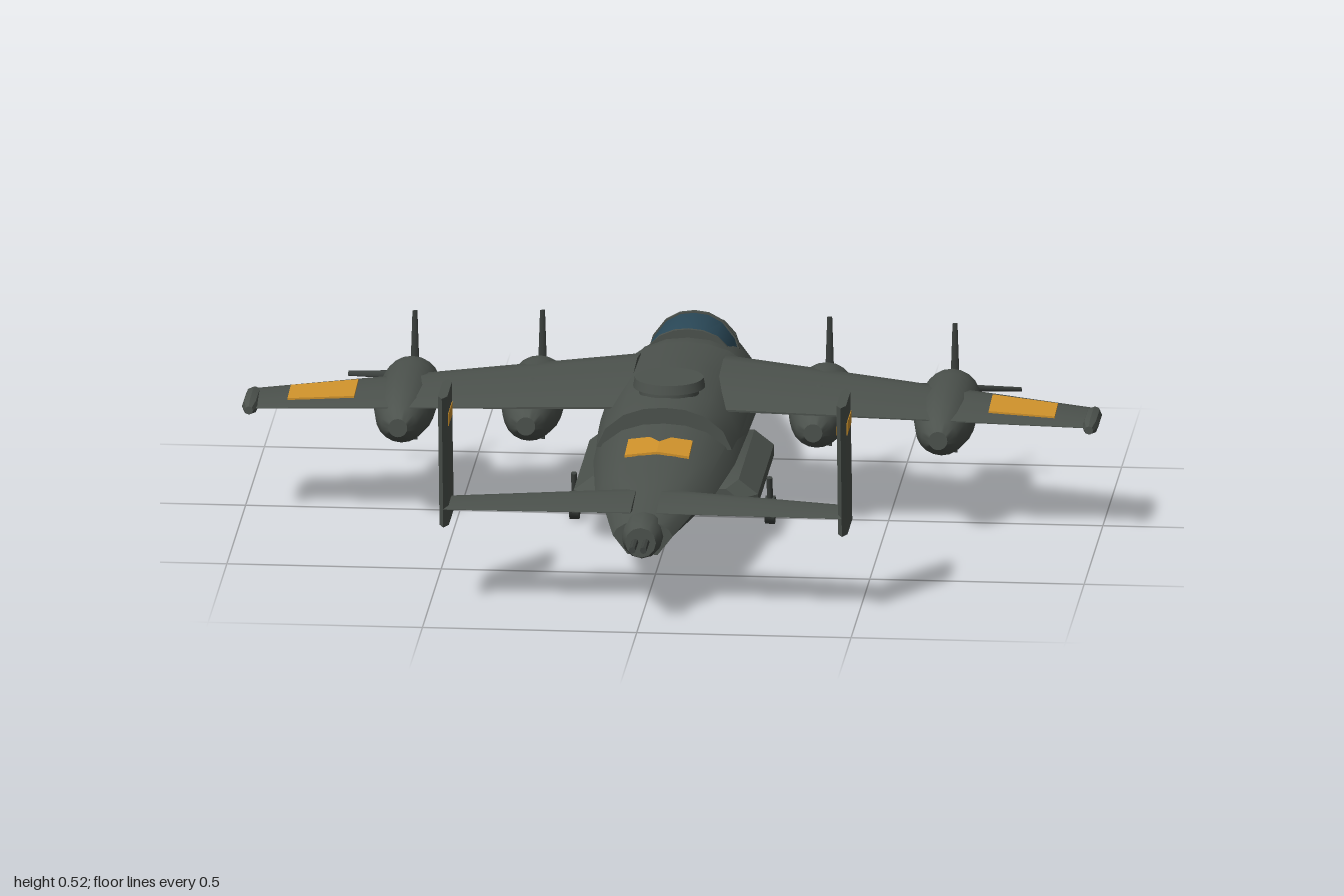
import * as THREE from 'three';
import { toCreasedNormals } from 'three/addons/utils/BufferGeometryUtils.js';

const material = (name, color) => {
  const m = new THREE.MeshStandardMaterial({ color });
  m.name = name;
  return m;
};

// Closed solid through rings of [x, y, z] points, wound outwards
function loft(rings, crease = 0.55) {
  const tris = [];
  const n = rings[0].length;
  for (let i = 0; i < rings.length - 1; i++) {
    for (let j = 0; j < n; j++) {
      const k = (j + 1) % n;
      const [a, b, c, d] = [rings[i][j], rings[i][k], rings[i + 1][k], rings[i + 1][j]];
      tris.push([a, b, c], [a, c, d]);
    }
  }
  const cap = (ring, flip) => {
    const mid = [0, 1, 2].map((i) => ring.reduce((s, p) => s + p[i], 0) / n);
    ring.forEach((p, j) => {
      const q = ring[(j + 1) % n];
      tris.push(flip ? [mid, q, p] : [mid, p, q]);
    });
  };
  cap(rings[0], true);
  cap(rings[rings.length - 1], false);
  const v = (p) => new THREE.Vector3(...p);
  const volume = tris.reduce((s, [a, b, c]) => s + v(a).dot(v(b).cross(v(c))), 0);
  if (volume < 0) tris.forEach((t) => t.reverse());
  const geo = new THREE.BufferGeometry();
  geo.setAttribute('position', new THREE.Float32BufferAttribute(tris.flat(2), 3));
  return toCreasedNormals(geo, crease);
}

// Turned part along z from [radius, z] points, given from low z to high z
function turned(profile, sides = 20, crease = 0.6) {
  const geo = new THREE.LatheGeometry(profile.map(([r, z]) => new THREE.Vector2(r, z)), sides);
  return toCreasedNormals(geo.rotateX(Math.PI / 2), crease);
}

// Wing section: [chord fraction, half thickness fraction]
const foil = [[0, 0.04], [0.08, 0.3], [0.3, 0.5], [0.78, 0.26], [1, 0.03]];
function foilRing(x, front, back, y, thick) {
  const pt = (sign) => ([f, t]) => [x, y + sign * t * thick, front + (back - front) * f];
  return [...foil.map(pt(1)), ...[...foil].reverse().map(pt(-1))];
}

export function createModel() {
  const body = material('airframe grey', 0x4c524d);
  const metal = material('dark metal', 0x3d423f);
  const orange = material('marking orange', 0xcf922b);
  const glass = material('canopy blue', 0x2c4b5b);
  const model = new THREE.Group();
  model.name = 'aircraft';
  const add = (name, geo, mat, x = 0, y = 0, z = 0, parent = model) => {
    const mesh = new THREE.Mesh(geo, mat);
    mesh.name = name;
    mesh.position.set(x, y, z);
    parent.add(mesh);
    return mesh;
  };

  // Fuselage stations: z, half width, top, chine, bottom, bottom half width
  const stations = [
    [-0.97, 0.003, 0.163, 0.16, 0.157, 0.002],
    [-0.86, 0.06, 0.208, 0.165, 0.122, 0.03],
    [-0.78, 0.1, 0.232, 0.17, 0.115, 0.045],
    [-0.56, 0.15, 0.28, 0.185, 0.105, 0.07],
    [-0.38, 0.17, 0.325, 0.197, 0.097, 0.085],
    [-0.31, 0.177, 0.33, 0.2, 0.094, 0.09],
    [0, 0.172, 0.33, 0.205, 0.085, 0.09],
    [0.27, 0.165, 0.3, 0.205, 0.095, 0.085],
    [0.56, 0.135, 0.27, 0.2, 0.13, 0.065],
    [0.66, 0.105, 0.255, 0.2, 0.136, 0.05],
    [0.84, 0.07, 0.225, 0.19, 0.145, 0.035],
  ];
  const arch = [[1, 0], [0.87, 0.45], [0.6, 0.8], [0.3, 0.96]];
  const archRing = (z, w, top, base) => [
    ...arch.map(([u, v]) => [u * w, base + v * (top - base), z]),
    [0, top, z],
    ...[...arch].reverse().map(([u, v]) => [-u * w, base + v * (top - base), z]),
  ];
  add('fuselage', loft(stations.map(([z, w, top, mid, bottom, wb]) =>
    [...archRing(z, w, top, mid), [-wb, bottom, z], [wb, bottom, z]])), body);
  add('centreFairing', loft([[-0.31, 0.168, 0.333], [-0.1, 0.168, 0.345], [0.05, 0.168, 0.35],
    [0.15, 0.165, 0.348], [0.27, 0.158, 0.338]].map(([z, w, top]) => archRing(z, w, top, 0.24))), body);

  // Canopy and its frames
  const canopy = [[-0.755, 0.06, 0.233, 0.2], [-0.69, 0.092, 0.29, 0.21], [-0.54, 0.108, 0.34, 0.23],
    [-0.38, 0.108, 0.341, 0.26]];
  add('canopy', loft(canopy.map((c) => archRing(...c))), glass);
  for (const [z, w, top, base] of canopy.slice(1)) {
    add('canopyFrame', loft([-0.005, 0.005].map((d) => archRing(z + d, w + 0.004, top + 0.004, base))), body);
  }

  // Dorsal disc, chin fairing and tail guns
  add('dorsalDisc', new THREE.CylinderGeometry(0.08, 0.084, 0.022, 28), body, 0, 0.364, 0.135);
  add('dorsalDiscBase', new THREE.CylinderGeometry(0.07, 0.07, 0.03, 28), body, 0, 0.345, 0.135);
  add('chinFairing', turned([[0, -0.06], [0.014, -0.04], [0.018, 0.03], [0, 0.04]], 10), body, 0, 0.13, -0.86);
  add('tailTurret', turned([[0.05, -0.04], [0.046, 0.02], [0.036, 0.05], [0, 0.05]], 12), body, 0, 0.19, 0.85);
  for (const x of [-0.013, 0.013]) {
    add('tailGun', turned([[0.008, -0.05], [0.008, 0.05], [0, 0.05]], 8), metal, x, 0.192, 0.923);
  }

  const wheel = (x, z) => {
    add('wheel', toCreasedNormals(new THREE.CylinderGeometry(0.033, 0.033, 0.022, 18).rotateZ(Math.PI / 2), 0.6),
      metal, x, 0.034, z);
    const strut = add('wheelStrut', new THREE.CylinderGeometry(0.007, 0.007, 0.09, 8), metal, x, 0.075, z + 0.01);
    strut.rotation.x = 0.3;
    return strut;
  };
  wheel(0, -0.655).name = 'noseStrut';

  // Engine along z with a four-blade propeller
  const engine = (x, shift, length) => {
    const g = new THREE.Group();
    g.name = 'engine';
    g.position.set(x, 0.245, shift);
    model.add(g);
    add('nacelle', turned([[0, -0.275], [0.035, -0.272], [0.054, -0.255], [0.066, -0.215], [0.071, -0.16],
      [0.071, 0.0], [0.06, length - 0.09], [0.042, length - 0.03], [0.022, length], [0, length]]), body, 0, 0, 0, g);
    add('intake', new THREE.BoxGeometry(0.05, 0.02, 0.12), body, 0, -0.064, -0.13, g);
    add('spinner', turned([[0, -0.305], [0.016, -0.298], [0.026, -0.28], [0.026, -0.265]], 14), metal, 0, 0, 0, g);
    for (let i = 0; i < 4; i++) {
      const blade = new THREE.CylinderGeometry(0.006, 0.011, 0.145, 8).scale(1, 1, 0.4);
      blade.rotateY(0.35).translate(0, 0.083, 0);
      add('propellerBlade', blade, metal, 0, 0, -0.286, g).rotation.z = i * Math.PI / 2;
    }
  };

  for (const s of [1, -1]) {
    // Main wing; fractions run from root to tip
    const wingAt = (x) => {
      const f = (x - 0.1) / 0.88;
      return foilRing(s * x, -0.285 + 0.25 * f, 0.135 - 0.01 * f, 0.297 - 0.025 * f, 0.078 - 0.054 * f);
    };
    add('wing', loft([wingAt(0.1), wingAt(0.98)]), body);
    const [inner, outer] = [wingAt(0.74), wingAt(0.895)];
    const corners = [inner[2], inner[3], outer[3], outer[2]];
    add('wingMarking', loft([0.0005, 0.005].map((d) => corners.map(([x, y, z]) => [x, y + d, z]))), orange);
    add('wingTipPod', turned([[0, -0.045], [0.012, -0.02], [0.019, 0.01], [0.019, 0.11], [0.01, 0.145],
      [0, 0.147]], 8), body, s * 0.98, 0.272, 0);
    engine(s * 0.335, -0.03, 0.16);
    engine(s * 0.63, 0, 0.17);

    // Tailplane and end fin
    add('tailplane', loft([foilRing(s * 0.03, 0.63, 0.825, 0.24, 0.026),
      foilRing(s * 0.465, 0.737, 0.85, 0.245, 0.014)]), body);
    const finRing = (y, front, back) => {
      const c = back - front;
      const pts = [[0, 0], [0.011, 0.18], [0.011, 0.87], [0, 1], [-0.011, 0.87], [-0.011, 0.18]];
      return pts.map(([x, f]) => [s * 0.465 + x, y, front + c * f]);
    };
    add('tailFin', loft([finRing(0.2, 0.66, 0.845), finRing(0.25, 0.662, 0.85), finRing(0.522, 0.712, 0.885)], 0.05), body);
    add('finMarking', new THREE.BoxGeometry(0.025, 0.03, 0.108), orange, s * 0.465, 0.46, 0.79);

    // Rear dorsal marking, one half each side
    const half = [[0, 0.4], [0.025, 0.365], [0.075, 0.365], [0.075, 0.465], [0, 0.465]];
    add('dorsalMarking', loft([0.0015, 0.0075].map((d) => half.map(([x, z]) =>
      [s * x, 0.29 - (z - 0.365) * 0.1034 - 0.13 * x + d, z]))), orange);

    // Belly sponson with the main wheel
    const sponson = (z, k) => [[0.08, 0.155], [0.17, 0.157], [0.215, 0.122], [0.215, 0.095], [0.2, 0.088], [0.08, 0.086]]
      .map(([x, y]) => [s * (0.08 + (x - 0.08) * k), 0.11 + (y - 0.11) * k, z]);
    add('sponson', loft([sponson(-0.24, 0.6), sponson(-0.2, 1), sponson(0.225, 1), sponson(0.26, 0.7)]), body);
    wheel(s * 0.228, 0.045).name = 'mainStrut';
  }
  return model;
}
